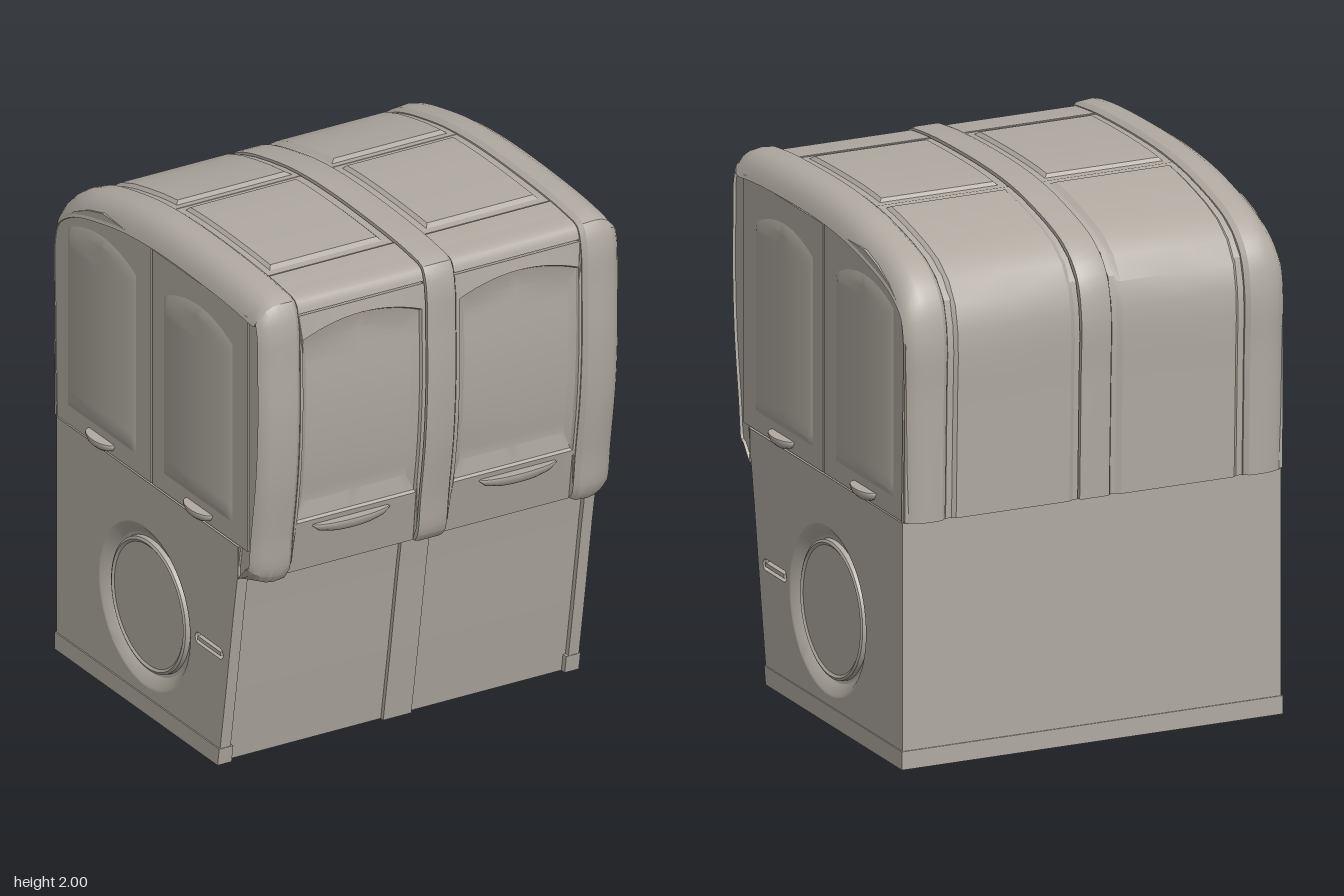
import * as THREE from 'three';
import { toCreasedNormals } from 'three/addons/utils/BufferGeometryUtils.js';

const warmGrey = new THREE.MeshStandardMaterial({ color: 0xb0aaa1, side: THREE.DoubleSide });
warmGrey.name = 'warmGrey';

// Outline of the overhead cabinet as [z, y]: up the front, over the roof, down the back
const outline = new THREE.CatmullRomCurve3([
  [0.655, 0.81], [0.677, 0.84], [0.7, 1.0], [0.735, 1.25], [0.75, 1.5], [0.748, 1.7], [0.74, 1.88],
  [0.71, 1.955], [0.6, 1.98], [0.2, 2.0], [-0.1, 1.993], [-0.33, 1.962], [-0.6, 1.885],
  [-0.71, 1.79], [-0.75, 1.65], [-0.747, 1.4], [-0.735, 0.94],
].map(([z, y]) => new THREE.Vector3(0, y, z)), false, 'centripetal');
outline.arcLengthDivisions = 600;

// Point on the outline at u, sunk by d; k weakens the sinking on front and back
function surface(u, d, k = 1) {
  const p = outline.getPointAt(u), t = outline.getTangentAt(u);
  return [p.z - d * k * t.y, p.y + d * t.z];
}

// First u along the outline that passes a test
function findU(test) {
  for (let i = 0; i <= 600; i++) if (test(outline.getPointAt(i / 600))) return i / 600;
  return 1;
}
const uY = (y) => findU((p) => p.y >= y);
const uZ = (z) => findU((p) => p.z <= z);

function mesh(name, geometry, parent) {
  const m = new THREE.Mesh(geometry, warmGrey);
  m.name = name;
  parent.add(m);
  return m;
}

// Skin joining rows of points; every row is a closed loop
function skin(rows) {
  const n = rows[0].length, index = [];
  for (let i = 0; i < rows.length - 1; i++) {
    for (let j = 0; j < n; j++) {
      const a = i * n + j, b = i * n + (j + 1) % n, c = b + n, d = a + n;
      index.push(a, d, c, a, c, b);
    }
  }
  const g = new THREE.BufferGeometry();
  g.setAttribute('position', new THREE.Float32BufferAttribute(rows.flat(2), 3));
  g.setIndex(index);
  return toCreasedNormals(g, 0.45);
}

// Rectangle loop whose top may be arched
function loop(x0, x1, v0, v1, rise, d, map) {
  const n = 14, pts = [];
  const top = (s) => v1 - rise * (2 * s - 1) ** 2;
  for (let side = 0; side < 4; side++) {
    for (let i = 0; i < n; i++) {
      const s = i / n;
      if (side === 0) pts.push(map(x0, v0 + (top(0) - v0) * s, d));
      if (side === 1) pts.push(map(x0 + (x1 - x0) * s, top(s), d));
      if (side === 2) pts.push(map(x1, top(1) + (v0 - top(1)) * s, d));
      if (side === 3) pts.push(map(x1 + (x0 - x1) * s, v0, d));
    }
  }
  return pts;
}

// Panel from nested loops [x0, x1, v0, v1, rise, d], closed along its middle line
function panel(loops, map) {
  const [x0, x1, ...rest] = loops[loops.length - 1];
  const mid = (x0 + x1) / 2;
  return skin([...loops, [mid, mid, ...rest]].map((l) => loop(...l, map)));
}

// Side plate: [z, y] corners pushed out along x, with optional holes
function sidePlate(points, x, depth, holes = []) {
  const shape = new THREE.Shape(points.map(([z, y]) => new THREE.Vector2(-z, y)));
  shape.holes = holes;
  return new THREE.ExtrudeGeometry(shape, { depth, bevelEnabled: false, curveSegments: 24 })
    .rotateY(Math.PI / 2).translate(x, 0, 0);
}

// Cup-shaped pull, flat on top
function pull(name, parent, position, scale) {
  const pts = [[0, -1], [0.55, -0.9], [0.85, -0.6], [1, -0.12], [0.97, 0], [0, 0]];
  const g = toCreasedNormals(new THREE.LatheGeometry(pts.map(([x, y]) => new THREE.Vector2(x, y)), 32), 0.7);
  g.scale(...scale);
  mesh(name, g, parent).position.set(...position);
}

// Ribbed shell of the overhead cabinet: middle strip, sunk bays, rounded side bands
function buildShell(root) {
  const half = [[0.045, 0.008, 1], [0.06, 0.013, 1], [0.063, 0.055, 1], [0.598, 0.055, 1],
    [0.602, 0.018, 1], [0.62, 0.004, 1], [0.67, 0, 1], [0.7, 0.006, 0.6], [0.73, 0.025, 0.4],
    [0.755, 0.06, 0.4], [0.768, 0.1, 0.4], [0.756, 0.105, 0.4]];
  const stations = [...half.map(([x, d, k]) => [-x, d, k]).reverse(), ...half];
  mesh('cabinetShell', skin(stations.map(([x, d, k]) => {
    const row = [];
    for (let j = 0; j <= 90; j++) row.push(surface(j / 90, d, k));
    row.push([0.57, 0.94], [0.57, 0.81]);
    return row.map(([z, y]) => [x, y, z]);
  })), root);
}

// Panels of one bay, wrapped over front, roof and back
function buildBay(side) {
  const wrap = (x, u, d) => {
    const [z, y] = surface(u, d);
    return [x, y, z];
  };
  const X0 = 0.065, X1 = 0.599;
  const uHead = uY(1.895), uRoof = uZ(0.51), uBar = uZ(-0.14);
  const arch = uY(1.84) - uY(1.785);
  mesh('frontDoor', panel([
    [X0, X1, 0, uHead - 0.001, 0, 0.055], [X0, X1, 0, uHead - 0.001, 0, 0.018],
    [0.08, 0.588, uY(1.03), uY(1.845), arch, 0.018],
    [0.085, 0.583, uY(1.035), uY(1.84), arch, 0.03],
    [0.115, 0.56, uY(1.1), uY(1.775), arch, 0.045],
  ], wrap), side);
  mesh('roofBrow', panel([
    [X0, X1, uHead + 0.001, uRoof - 0.001, 0, 0.055],
    [X0, X1, uHead + 0.001, uRoof - 0.001, 0, 0.02],
  ], wrap), side);
  mesh('roofFrame', panel([
    [X0, X1, uRoof + 0.001, uBar, 0, 0.055], [X0, X1, uRoof + 0.001, uBar, 0, 0.022],
  ], wrap), side);
  mesh('roofPanel', panel([
    [0.095, 0.572, uZ(0.48), uZ(-0.11), 0, 0.022], [0.108, 0.56, uZ(0.46), uZ(-0.1), 0, 0.01],
  ], wrap), side);
  mesh('backFrame', panel([[X0, X1, uBar, 1, 0, 0.055], [X0, X1, uBar, 1, 0, 0.02]], wrap), side);
  mesh('backPanel', panel([
    [0.085, 0.575, uZ(-0.17), 1, 0, 0.02], [0.105, 0.562, uZ(-0.185), 1, 0, 0.008],
  ], wrap), side);
  pull('frontPull', side, [0.355, 1.015, 0.685], [0.165, 0.045, 0.035]);
}

// Side cheek with two cupboard doors
function buildSideDoors(side) {
  const cheek = [];
  for (let j = 0; j <= 60; j++) cheek.push(surface(j / 60, 0.105, 0.4));
  cheek.push([0.57, 0.94], [0.57, 0.81]);
  mesh('sideCheek', sidePlate(cheek, 0.73, 0.027), side);

  const out = (z, y, d) => [0.764 + d, y, z];
  mesh('sideDoorFront', sidePlate([[0.63, 0.945], [-0.033, 0.945], [-0.033, 1.893], [0.63, 1.893]], 0.75, 0.014), side);
  mesh('sideDoorBack', sidePlate([[-0.043, 0.945], [-0.715, 0.945], [-0.72, 1.62], [-0.7, 1.7],
    [-0.65, 1.77], [-0.58, 1.82], [-0.48, 1.865], [-0.38, 1.893], [-0.043, 1.893]], 0.75, 0.014), side);
  for (const z of [0.525, -0.145]) {
    mesh('sideDoorPanel', panel([
      [z, z - 0.475, 1.02, 1.8, 0.06, 0], [z - 0.025, z - 0.45, 1.045, 1.77, 0.06, 0.008],
    ], out), side);
  }
  for (const z of [0.297, -0.385]) pull('sidePull', side, [0.765, 0.99, z], [0.043, 0.042, 0.092]);
}

// Lower side wall with a round recess and a slot
function buildLowerSide(side) {
  const ring = new THREE.Path();
  ring.absarc(0.08, 0.43, 0.318, 0, Math.PI * 2);
  const slot = new THREE.Path();
  slot.absarc(-0.29, 0.455, 0.022, -Math.PI / 2, Math.PI / 2);
  slot.absarc(-0.44, 0.455, 0.022, Math.PI / 2, Math.PI * 1.5);
  mesh('lowerSideWall', sidePlate([[0.43, 0], [-0.7, 0], [-0.7, 0.94], [0.585, 0.94], [0.535, 0.65],
    [0.48, 0.3]], 0.72, 0.045, [ring, slot]), side);
  const dish = [[0.322, 0.766], [0.312, 0.764], [0.275, 0.735], [0.262, 0.733], [0.26, 0.752],
    [0.25, 0.757], [0.24, 0.75], [0, 0.75]].map(([r, h]) => new THREE.Vector2(r, h));
  mesh('roundHatch', toCreasedNormals(new THREE.LatheGeometry(dish, 64), 0.5), side)
    .position.set(0, 0.43, -0.08);
  side.children[side.children.length - 1].geometry.rotateZ(-Math.PI / 2);
  mesh('slotBar', new THREE.BoxGeometry(0.05, 0.016, 0.16), side).position.set(0.741, 0.455, 0.365);
  mesh('baseTrim', sidePlate([[0.432, 0], [-0.704, 0], [-0.704, 0.07], [0.444, 0.07]], 0.71, 0.06), side);
}

// Lower body: sunk front, middle strip and rear trim
function buildLowerBody(root) {
  const block = (inset, back) => [[0.43 - inset, 0], [back, 0], [back, 0.94], [0.585 - inset, 0.94],
    [0.535 - inset, 0.65], [0.48 - inset, 0.3]];
  mesh('lowerBody', sidePlate(block(0.022, -0.7), -0.725, 1.45), root);
  mesh('lowerMiddleStrip', sidePlate(block(0.004, 0.2), -0.06, 0.12), root);
  mesh('rearTrim', new THREE.BoxGeometry(1.43, 0.07, 0.02), root).position.set(0, 0.035, -0.694);
}

export function createModel() {
  const root = new THREE.Group();
  root.name = 'cabinet';
  buildShell(root);
  buildLowerBody(root);
  const left = new THREE.Group();
  left.name = 'leftHalf';
  buildBay(left);
  buildSideDoors(left);
  buildLowerSide(left);
  const right = left.clone();
  right.name = 'rightHalf';
  right.scale.x = -1;
  root.add(left, right);
  return root;
}
